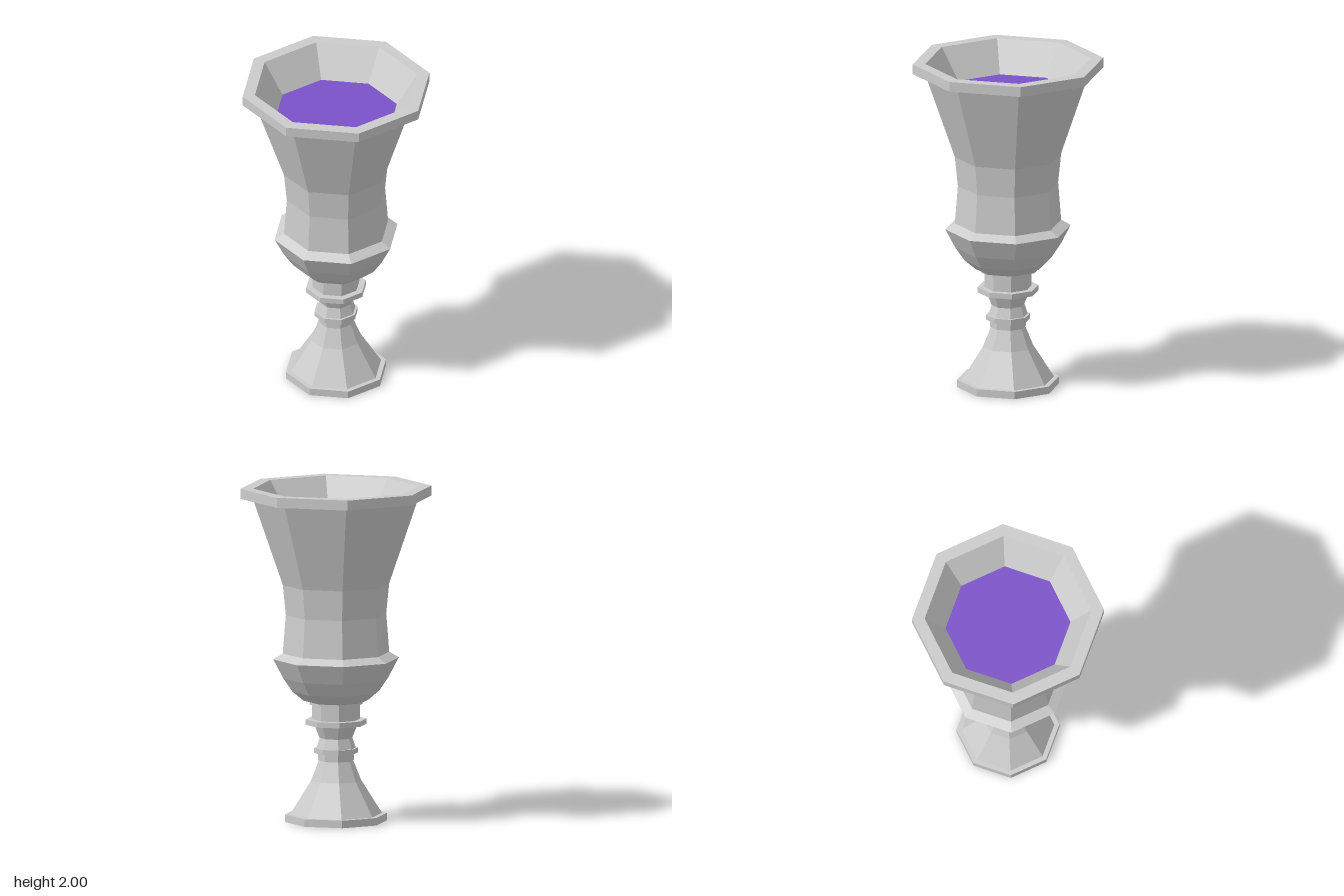
import * as THREE from 'three';

const SIDES = 8;
const grey = new THREE.MeshStandardMaterial({ color: 0xcccccc, flatShading: true });
const purple = new THREE.MeshStandardMaterial({ color: 0x7b52c8, flatShading: true });

// Eight-sided turned part from [radius, height] pairs, outside listed upwards
function turned(name, profile) {
  const points = profile.map(([r, y]) => new THREE.Vector2(r, y));
  const mesh = new THREE.Mesh(new THREE.LatheGeometry(points, SIDES), grey);
  mesh.name = name;
  return mesh;
}

// Flat octagonal ring or disc between two heights
function disc(name, radius, bottom, top) {
  return turned(name, [[0, bottom], [radius, bottom], [radius, top], [0, top]]);
}

export function createModel() {
  const goblet = new THREE.Group();
  goblet.name = 'goblet';

  // Flared foot, hollow underneath
  goblet.add(turned('foot', [
    [0, 0.35], [0.085, 0.35], [0.135, 0.24], [0.255, 0.045], [0.27, 0],
    [0.305, 0], [0.305, 0.045], [0.275, 0.045], [0.15, 0.245], [0.1, 0.37], [0, 0.37],
  ]));

  // Stem with its rings
  goblet.add(disc('lowerCollar', 0.107, 0.365, 0.41));
  goblet.add(disc('lowerRing', 0.132, 0.41, 0.44));
  goblet.add(turned('stemWaist', [[0.118, 0.44], [0.098, 0.5], [0.13, 0.58]]));
  goblet.add(disc('upperRing', 0.182, 0.58, 0.612));
  goblet.add(disc('upperCollar', 0.142, 0.612, 0.7));
  goblet.add(disc('bowlSeat', 0.158, 0.7, 0.718));

  // Bowl, tall cup, rim and inner wall in one closed skin
  goblet.add(turned('cup', [
    [0, 0.715], [0.155, 0.715], [0.195, 0.725], [0.26, 0.78], [0.315, 0.86],
    [0.375, 0.975], [0.318, 1.01], [0.3, 1.24], [0.318, 1.42], [0.497, 1.94],
    [0.57, 1.94], [0.57, 2], [0.495, 2], [0.37, 1.81],
  ]));

  // Drink filling the cup
  const drink = new THREE.Mesh(new THREE.CircleGeometry(0.372, SIDES), purple);
  drink.name = 'drink';
  drink.rotation.x = -Math.PI / 2;
  drink.position.y = 1.812;
  goblet.add(drink);

  return goblet;
}
